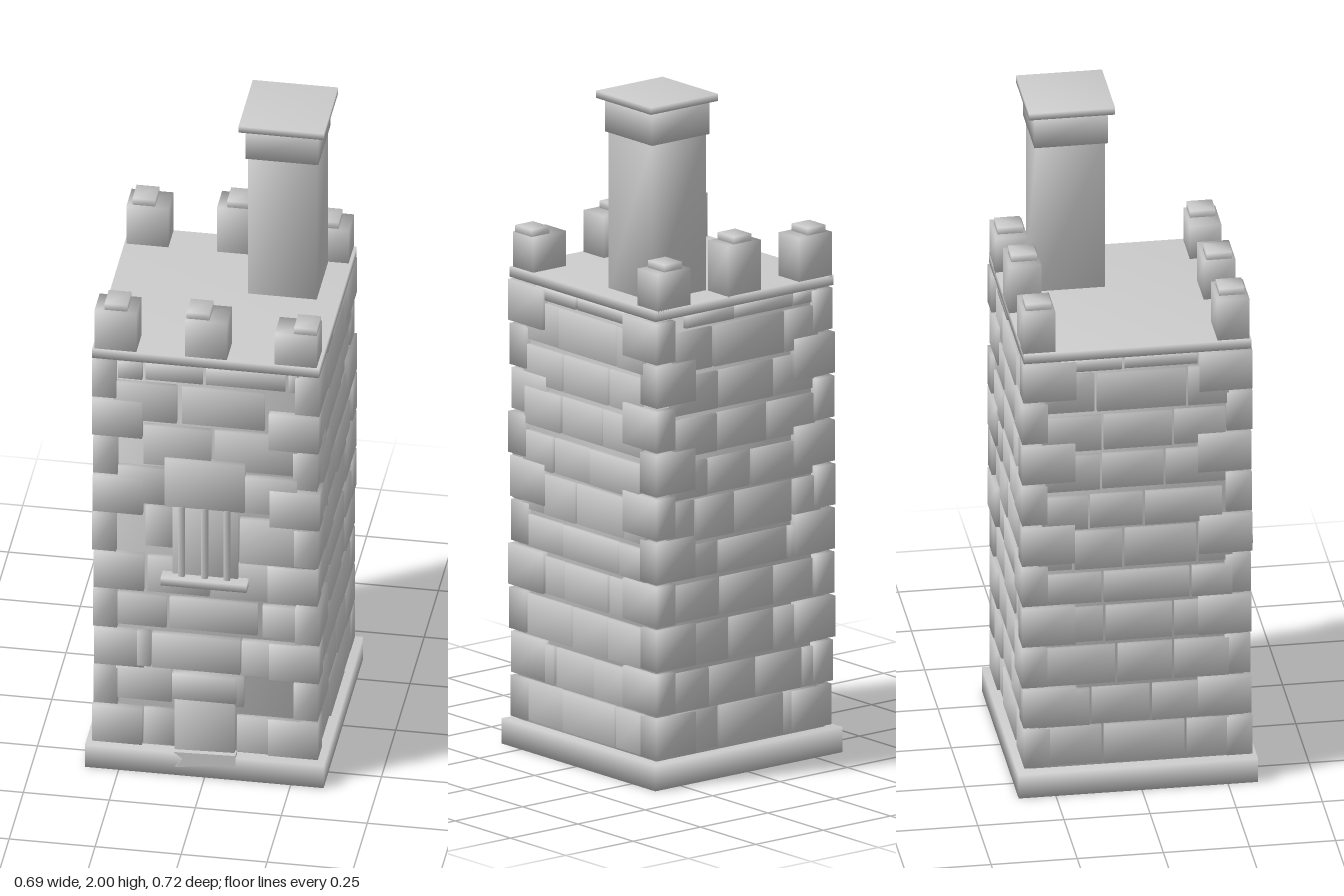
import * as THREE from 'three';
import { mergeVertices } from 'three/addons/utils/BufferGeometryUtils.js';

const stone = new THREE.MeshStandardMaterial({ color: 0xcccccc });
stone.name = 'stone grey';

// shared corners give soft, averaged normals
function soften(geometry) {
  geometry.deleteAttribute('uv');
  geometry.deleteAttribute('normal');
  const g = mergeVertices(geometry, 1e-5);
  g.computeVertexNormals();
  return g;
}

function addBlock(parent, name, [x0, x1], [y0, y1], [z0, z1]) {
  const geometry = soften(new THREE.BoxGeometry(x1 - x0, y1 - y0, z1 - z0));
  const mesh = new THREE.Mesh(geometry, stone);
  mesh.position.set((x0 + x1) / 2, (y0 + y1) / 2, (z0 + z1) / 2);
  mesh.name = name;
  parent.add(mesh);
  return mesh;
}

function seeded(seed) {
  return () => (seed = (seed * 16807) % 2147483647) / 2147483647;
}

function addGroup(parent, name) {
  const group = new THREE.Group();
  group.name = name;
  parent.add(group);
  return group;
}

const ZC = -0.01; // centre of the tower body in z

// front bricks: bottom, top, then left and right edge of each brick
const frontRows = [
  [0.085, 0.205, [-0.18, -0.09], [0.09, 0.275]],
  [0.235, 0.345, [-0.26, -0.1]],
  [0.24, 0.34, [0.03, 0.11]],
  [0.35, 0.465, [-0.2, -0.16], [-0.155, 0.1], [0.105, 0.28]],
  [0.485, 0.59, [-0.285, -0.115], [-0.105, 0.15], [0.165, 0.31]],
  [0.605, 0.725, [-0.17, 0.01], [0.02, 0.285]],
  [0.605, 0.73, [0.18, 0.29]],
  [0.76, 0.895, [-0.175, -0.095]],
  [0.73, 0.88, [0.1, 0.32]],
  [0.905, 1.025, [-0.255, -0.12], [0.1, 0.265]],
  [1.04, 1.17, [-0.18, 0.015], [0.025, 0.265]],
  [1.185, 1.31, [-0.27, -0.085], [-0.07, 0.17]],
  [1.325, 1.38, [-0.255, -0.185], [-0.175, -0.01], [0, 0.23], [0.24, 0.27]]
];

// side bricks: bottom, top, then the joints along z
const sideRows = [
  [0.085, 0.205, 0.26, 0.09, -0.15, -0.28],
  [0.21, 0.325, 0.28, 0.125, -0.05, -0.22, -0.3],
  [0.34, 0.46, 0.27, 0.05, -0.115, -0.28],
  [0.475, 0.585, 0.26, 0.085, -0.115, -0.28],
  [0.6, 0.695, 0.26, 0.09, -0.165, -0.29],
  [0.71, 0.83, 0.28, 0.175, 0.03, -0.185, -0.29],
  [0.84, 0.945, 0.27, 0.13, -0.03, -0.26],
  [0.965, 1.075, 0.26, 0.095, -0.09, -0.27],
  [1.09, 1.2, 0.27, 0.09, -0.115, -0.27],
  [1.215, 1.335, 0.26, 0.11, -0.155, -0.28],
  [1.345, 1.38, 0.215, 0.03, -0.19, -0.28]
];

export function createModel() {
  const tower = new THREE.Group();
  tower.name = 'stoneTower';
  const rand = seeded(41);

  // plinth, body and roof slab
  addBlock(tower, 'plinth', [-0.348, 0.346], [0, 0.075], [-0.358, 0.337]);
  addBlock(tower, 'body', [-0.312, 0.312], [0.07, 1.39], [ZC - 0.312, ZC + 0.312]);
  addBlock(tower, 'roofSlab', [-0.33, 0.33], [1.386, 1.416], [-0.34, 0.32]);

  // corner stones, long and short faces alternating
  const corners = addGroup(tower, 'cornerStones');
  for (const sx of [-1, 1]) for (const sz of [-1, 1]) for (let i = 0; i < 10; i++) {
    const y = 0.083 + i * 0.1305;
    const wx = i % 2 ? 0.07 : 0.145, wz = i % 2 ? 0.15 : 0.07;
    const out = 0.324 + rand() * 0.008;
    const xs = [sx * (out - wx), sx * out].sort((a, b) => a - b);
    const zs = [ZC + sz * (out - wz), ZC + sz * (out + 0.004)].sort((a, b) => a - b);
    addBlock(corners, 'cornerStone', xs, [y, y + 0.121], zs);
  }

  // front wall
  const front = addGroup(tower, 'frontBricks');
  for (const [y0, y1, ...bricks] of frontRows) {
    for (const b of bricks) addBlock(front, 'brick', b, [y0, y1], [0.28, 0.313 + rand() * 0.008]);
  }

  // side and back walls share one bond
  const gap = 0.004;
  const walls = { right: addGroup(tower, 'rightBricks'), left: addGroup(tower, 'leftBricks'), back: addGroup(tower, 'backBricks') };
  for (const [y0, y1, ...joints] of sideRows) {
    for (let i = 0; i + 1 < joints.length; i++) {
      const a = joints[i + 1] + gap, b = joints[i] - gap;
      const out = 0.319 + rand() * 0.008;
      addBlock(walls.right, 'brick', [0.28, out], [y0, y1], [a, b]);
      addBlock(walls.left, 'brick', [-out, -0.28], [y0, y1], [2 * ZC - b, 2 * ZC - a]);
      addBlock(walls.back, 'brick', [a, b], [y0, y1], [ZC - out, -0.29]);
    }
  }

  // doorway with lintel and a crooked doorstep
  const door = addGroup(tower, 'doorway');
  addBlock(door, 'door', [-0.09, 0.085], [0.065, 0.262], [0.28, 0.325]);
  addBlock(door, 'doorLintel', [-0.095, 0.09], [0.258, 0.343], [0.28, 0.336]);
  const step = new THREE.Shape([
    [-0.085, 0.03], [0.09, 0.05], [0.09, 0.085], [-0.09, 0.08], [-0.065, 0.06]
  ].map(([x, y]) => new THREE.Vector2(x, y)));
  const stepMesh = new THREE.Mesh(
    new THREE.ExtrudeGeometry(step, { depth: 0.03, bevelEnabled: false }), stone);
  stepMesh.position.z = 0.311;
  stepMesh.name = 'doorstep';
  door.add(stepMesh);

  // barred window
  const win = addGroup(tower, 'window');
  addBlock(win, 'windowPanel', [-0.095, 0.095], [0.675, 0.915], [0.28, 0.326]);
  for (const x of [-0.067, 0, 0.065]) {
    addBlock(win, 'windowBar', [x - 0.009, x + 0.009], [0.675, 0.912], [0.31, 0.341]);
  }
  addBlock(win, 'windowSill', [-0.125, 0.125], [0.655, 0.68], [0.28, 0.357]);
  addBlock(win, 'windowLintel', [-0.118, 0.115], [0.91, 1.07], [0.28, 0.331]);

  // battlements: centre x, front or back, height, cap offset
  const battlements = addGroup(tower, 'battlements');
  for (const [x, z, top, dx] of [
    [-0.263, -0.294, 1.545, -0.012], [0, -0.294, 1.565, 0], [0.261, -0.294, 1.525, -0.003],
    [-0.263, 0.269, 1.545, 0], [0, 0.269, 1.54, -0.024], [0.261, 0.269, 1.52, 0.027]
  ]) {
    addBlock(battlements, 'merlon', [x - 0.061, x + 0.061], [1.41, top], [z - 0.046, z + 0.046]);
    addBlock(battlements, 'merlonCap', [x + dx - 0.033, x + dx + 0.033], [top - 0.01, top + 0.021], [z - 0.037, z + 0.037]);
  }

  // chimney
  const chimney = addGroup(tower, 'chimney');
  addBlock(chimney, 'chimneyShaft', [0.063, 0.263], [1.41, 1.89], [-0.242, -0.044]);
  addBlock(chimney, 'chimneyCollar', [0.057, 0.269], [1.88, 1.982], [-0.25, -0.036]);
  addBlock(chimney, 'chimneyCap', [0.04, 0.288], [1.979, 2], [-0.268, -0.018]);

  return tower;
}
